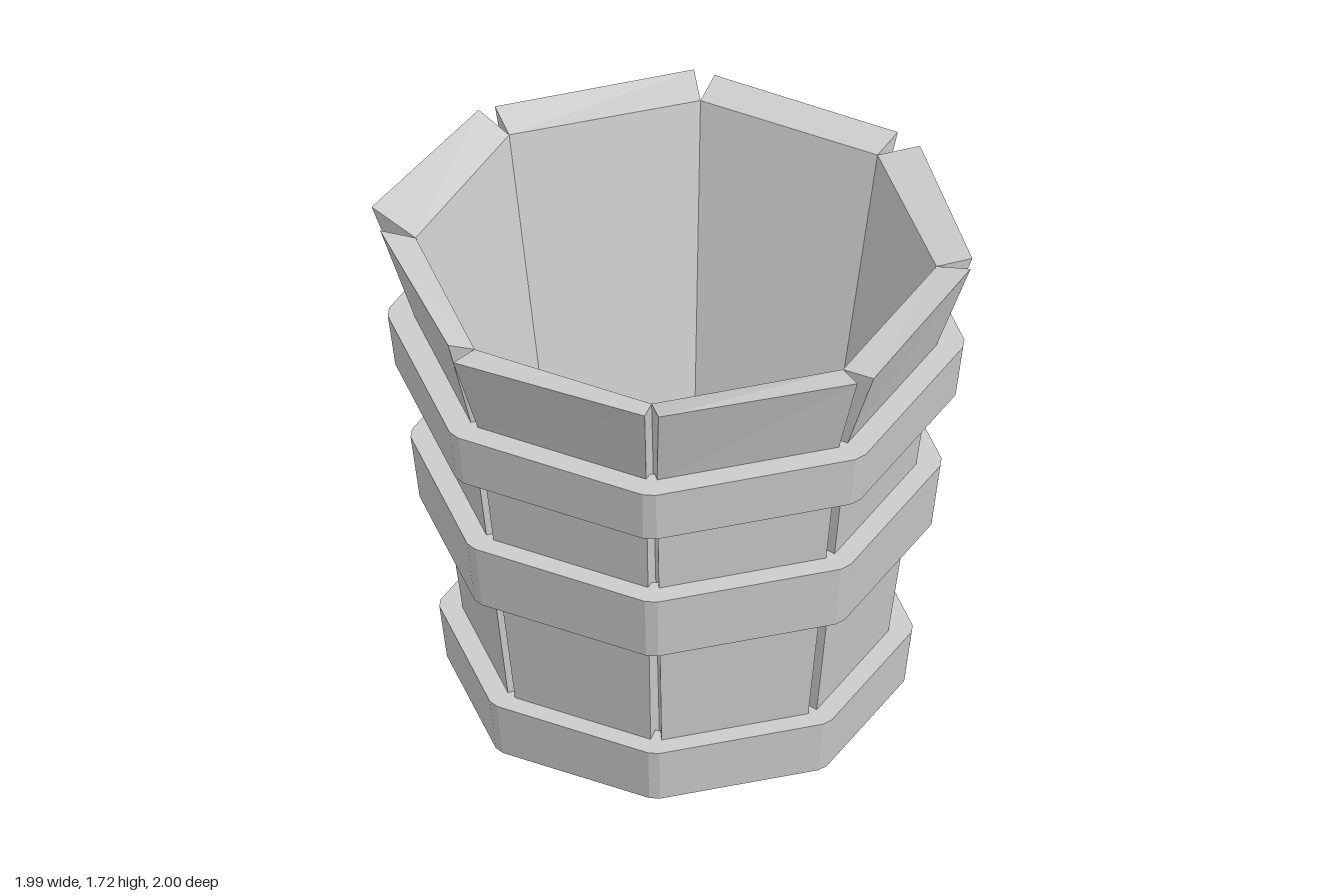
import * as THREE from 'three';

const CX = 0.015, CZ = 0.005, EIGHTH = Math.PI / 4;
const FLOOR_Y = 0.15, FLOOR_R = 0.59, RIM_Y = 1.67, RIM_R = 0.86;

// point at angle a (0 = front, turning towards +x), radius r, shifted sideways by t
const polar = (a, r, y, t = 0) => [
  CX + Math.sin(a) * r + Math.cos(a) * t, y, CZ + Math.cos(a) * r - Math.sin(a) * t];

// skin of loops stacked from bottom to top, with optional flat ends
function loft(sections, capBottom, capTop) {
  const pos = [];
  const tri = (a, b, c) => pos.push(...a, ...b, ...c);
  for (let i = 0; i + 1 < sections.length; i++) {
    const lo = sections[i], hi = sections[i + 1], n = lo.length;
    for (let j = 0; j < n; j++) {
      const k = (j + 1) % n;
      tri(lo[j], lo[k], hi[k]);
      tri(lo[j], hi[k], hi[j]);
    }
  }
  const first = sections[0], last = sections[sections.length - 1];
  for (let j = 1; j + 1 < first.length; j++) {
    if (capBottom) tri(first[0], first[j + 1], first[j]);
    if (capTop) tri(last[0], last[j], last[j + 1]);
  }
  const geometry = new THREE.BufferGeometry();
  geometry.setAttribute('position', new THREE.Float32BufferAttribute(pos, 3));
  geometry.computeVertexNormals();
  return geometry;
}

// octagon with slightly blunted corners
function octagon(r, y) {
  const points = [];
  for (let k = 0; k < 8; k++) {
    for (const d of [-0.024, 0.024]) points.push(polar(k * EIGHTH + d, r, y));
  }
  return points;
}

// outer upper corners of each stave: start and end, uneven like hand-cut boards
const STAVE_TOPS = [
  [[0.05, 1.715, 1.0], [0.68, 1.685, 0.71]],
  [[0.73, 1.68, 0.67], [0.99, 1.685, 0.03]],
  [[0.99, 1.685, -0.03], [0.76, 1.69, -0.64]],
  [[0.68, 1.69, -0.71], [0.05, 1.69, -0.975]],
  [[-0.02, 1.69, -1.0], [-0.65, 1.705, -0.71]],
  [[-0.70, 1.72, -0.665], [-1.0, 1.71, -0.10]],
  [[-0.96, 1.71, 0.03], [-0.68, 1.685, 0.62]],
  [[-0.655, 1.685, 0.715], [0.0, 1.68, 0.95]],
];

export function createModel() {
  const group = new THREE.Group();
  group.name = 'bucket';
  const material = new THREE.MeshStandardMaterial({ color: 0xcccccc, flatShading: true });
  const add = (name, geometry) => {
    const mesh = new THREE.Mesh(geometry, material);
    mesh.name = name;
    group.add(mesh);
  };

  // staves: touching on the inside, with V-shaped gaps on the outside
  const innerR = y => FLOOR_R + (RIM_R - FLOOR_R) * (y - FLOOR_Y) / (RIM_Y - FLOOR_Y);
  STAVE_TOPS.forEach(([start, end], k) => {
    const a0 = k * EIGHTH, a1 = a0 + EIGHTH;
    const section = (y, r) => [
      polar(a0, r, y, 0.018), polar(a1, r, y, -0.018),
      polar(a1, innerR(y), y), polar(a0, innerR(y), y)];
    const top = [start, end, polar(a1, RIM_R, RIM_Y), polar(a0, RIM_R, RIM_Y)];
    add('stave' + (k + 1), loft([section(0.03, 0.68), section(1.36, 0.86), top], true, true));
  });

  // hoops: bottom height, top height, bottom radius, top radius, inner radii
  const hoops = [
    ['middleHoop', 0.64, 0.88, 0.845, 0.875, 0.73, 0.765],
    ['upperHoop', 1.17, 1.365, 0.925, 0.95, 0.80, 0.83],
  ];
  for (const [name, y0, y1, r0, r1, i0, i1] of hoops) {
    add(name, loft([
      octagon(r0, y0), octagon(r1, y1), octagon(i1, y1), octagon(i0, y0), octagon(r0, y0)]));
  }

  // base hoop, closed underneath
  add('baseHoop', loft([octagon(0.755, 0), octagon(0.78, 0.2), octagon(0.65, 0.2)], true, false));

  // inside floor
  const floor = new THREE.CircleGeometry(FLOOR_R + 0.005, 8);
  floor.rotateX(-Math.PI / 2).translate(CX, FLOOR_Y, CZ);
  add('floor', floor);

  return group;
}
